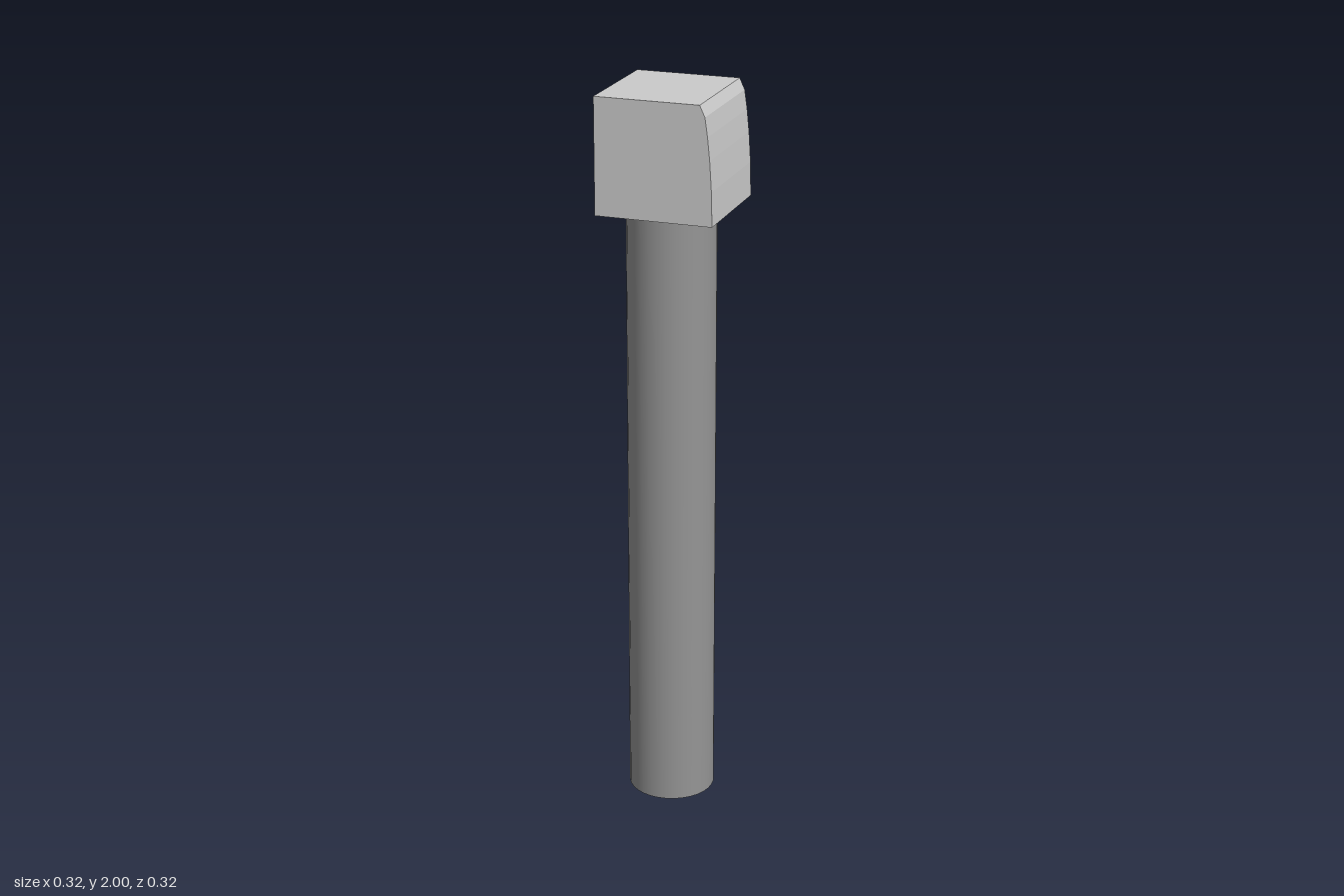
import * as THREE from 'three';

const HALF = 0.158; // half width of the head
const BASE = 1.69; // height where the head sits on the post
const TOP = 2;

function part(name, geometry, color) {
  const mesh = new THREE.Mesh(geometry, new THREE.MeshStandardMaterial({ color }));
  mesh.name = name;
  return mesh;
}

export function createModel() {
  const group = new THREE.Group();
  group.name = 'bollardLight';

  // Round post
  const post = part('post', new THREE.CylinderGeometry(0.119, 0.119, BASE, 32), 0x959595);
  post.position.set(-0.006, BASE / 2, 0);
  group.add(post);

  // Square head whose +x side curves inward towards the top
  const profile = new THREE.Shape([
    [-HALF, BASE], [HALF, BASE], [0.156, 1.78], [0.151, 1.86],
    [0.145, 1.92], [0.138, 1.97], [0.124, TOP], [-HALF, TOP],
  ].map(([x, y]) => new THREE.Vector2(x, y)));
  const headGeometry = new THREE.ExtrudeGeometry(profile, { depth: 2 * HALF, bevelEnabled: false });
  headGeometry.translate(0, 0, -HALF);
  group.add(part('head', headGeometry, 0xcccccc));

  // Dark panel flush with the -x side of the head
  const panel = part('panel', new THREE.PlaneGeometry(0.255, 0.25), 0x959595);
  panel.rotation.y = -Math.PI / 2;
  panel.position.set(-HALF - 0.001, (BASE + TOP) / 2, 0);
  group.add(panel);

  return group;
}
